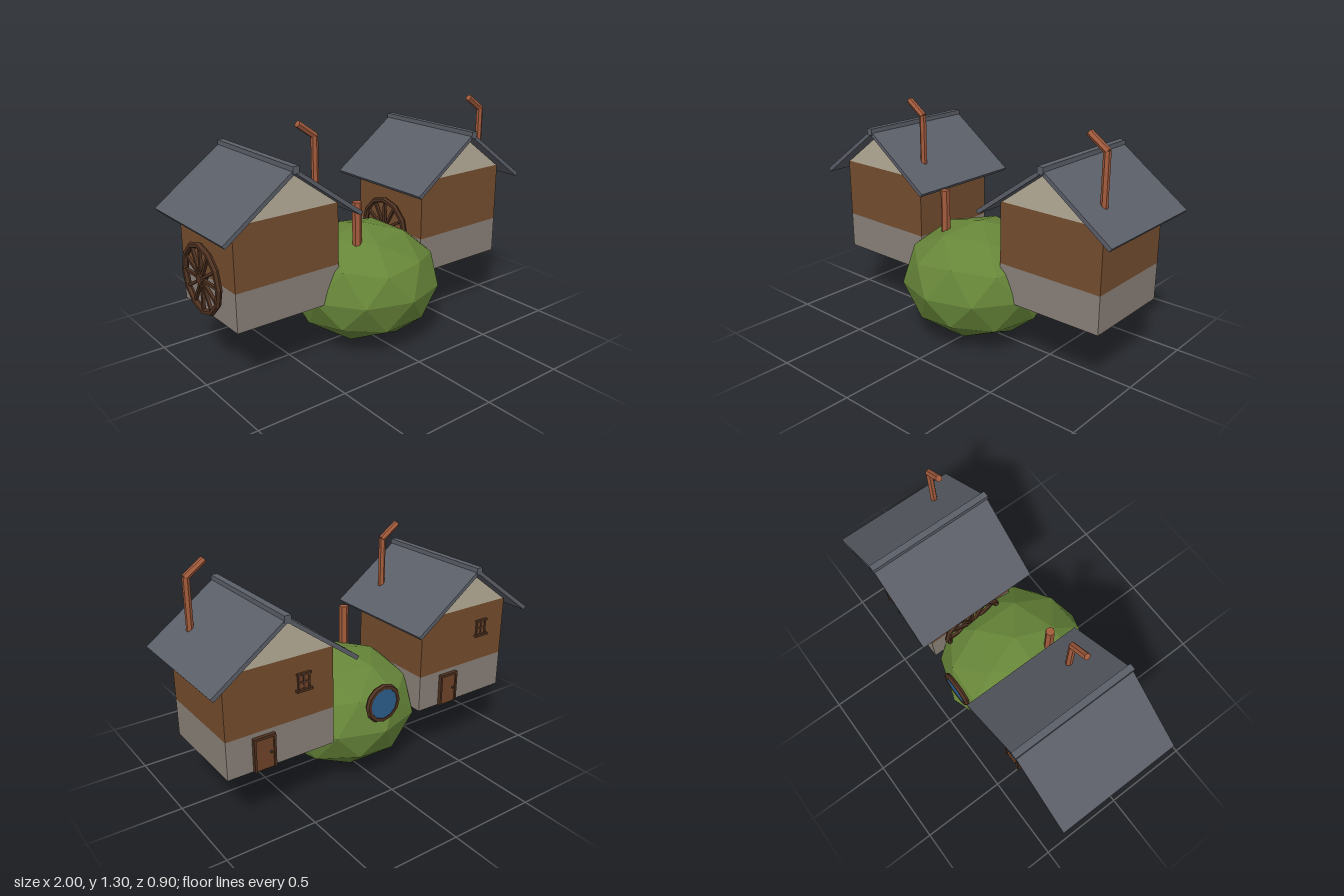
import * as THREE from 'three';

const colours = {
  stone: 0x8a8179, timber: 0x754d2e, plaster: 0xb8ae99, slate: 0x5b5f68, copper: 0xa35b3c,
  leaf: 0x678639, darkWood: 0x4f3221, doorWood: 0x6f4428, glass: 0x2c5f8e, iron: 0x33302e,
};
const M = {};
for (const [name, color] of Object.entries(colours)) {
  M[name] = new THREE.MeshStandardMaterial({ color });
  M[name].name = name;
}

function add(parent, name, geometry, material, x = 0, y = 0, z = 0) {
  const mesh = new THREE.Mesh(geometry, material);
  mesh.name = name;
  mesh.position.set(x, y, z);
  parent.add(mesh);
  return mesh;
}
const box = (w, h, d) => new THREE.BoxGeometry(w, h, d);

// Removes smoothing so that low-poly faces stay flat
function flat(geometry) {
  const g = geometry.index ? geometry.toNonIndexed() : geometry;
  g.computeVertexNormals();
  return g;
}

// Cross-section in x/y extruded between two z values
function prism(points, z0, z1) {
  const shape = new THREE.Shape(points.map(([x, y]) => new THREE.Vector2(x, y)));
  return new THREE.ExtrudeGeometry(shape, { depth: z1 - z0, bevelEnabled: false }).translate(0, 0, z0);
}

// Six-sided pipe between two points
function pipe(parent, name, a, b, r) {
  const p = new THREE.Vector3(...a), q = new THREE.Vector3(...b);
  const dir = q.clone().sub(p);
  const mesh = add(parent, name, flat(new THREE.CylinderGeometry(r, r, dir.length(), 6)), M.copper);
  mesh.position.copy(p).add(q).multiplyScalar(0.5);
  mesh.quaternion.setFromUnitVectors(new THREE.Vector3(0, 1, 0), dir.normalize());
}

// Spoked wheel whose axle runs along x
function wheel() {
  const g = new THREE.Group();
  g.name = 'wheel';
  const rim = flat(new THREE.TorusGeometry(0.178, 0.017, 6, 12).rotateY(Math.PI / 2));
  add(g, 'wheelRim', rim, M.darkWood);
  const hub = flat(new THREE.CylinderGeometry(0.03, 0.03, 0.034, 8).rotateZ(Math.PI / 2));
  add(g, 'wheelHub', hub, M.darkWood);
  for (let i = 0; i < 12; i++) {
    const spoke = add(g, 'wheelSpoke', box(0.016, 0.16, 0.015).translate(0, 0.095, 0), M.darkWood);
    spoke.rotation.x = (i * Math.PI) / 6;
  }
  const axle = flat(new THREE.CylinderGeometry(0.012, 0.012, 0.06, 6).rotateZ(Math.PI / 2));
  add(g, 'wheelAxle', axle, M.darkWood, 0.02);
  return g;
}

function house(x) {
  const g = new THREE.Group();
  g.name = 'house';
  g.position.x = x;
  const front = 0.18, back = -0.365, mid = (front + back) / 2, depth = front - back, half = 0.306;

  // Walls and gables
  add(g, 'stoneBase', box(half * 2, 0.208, depth), M.stone, 0, 0.436, mid);
  add(g, 'timberWalls', box(half * 2, 0.338, depth), M.timber, 0, 0.709, mid);
  add(g, 'gable', prism([[-half, 0.878], [half, 0.878], [0, 1.105]], front - depth, front), M.plaster);

  // Roof slabs and ridge
  for (const s of [-1, 1]) {
    const section = [[0, 1.122], [0.402, 0.83], [0.388, 0.812], [0, 1.097]].map(([px, py]) => [s * px, py]);
    add(g, 'roofSlab', prism(section, -0.45, 0.262), M.slate);
  }
  add(g, 'roofRidge', box(0.036, 0.038, 0.722), M.slate, 0, 1.115, -0.093);

  // Bent stovepipe
  pipe(g, 'chimneyPipe', [0.238, 0.92, 0.08], [0.238, 1.215, 0.08], 0.019);
  pipe(g, 'chimneyElbow', [0.243, 1.21, 0.08], [0.138, 1.285, 0.08], 0.019);

  // Back door with frame and knob
  const dx = 0.105;
  add(g, 'door', box(0.1, 0.17, 0.014), M.doorWood, dx, 0.418, back - 0.006);
  for (const s of [-1, 1]) add(g, 'doorPost', box(0.012, 0.182, 0.022), M.darkWood, dx + s * 0.055, 0.424, back - 0.01);
  add(g, 'doorLintel', box(0.122, 0.014, 0.022), M.darkWood, dx, 0.51, back - 0.01);
  add(g, 'doorKnob', new THREE.SphereGeometry(0.007, 8, 6), M.iron, dx - 0.034, 0.42, back - 0.016);

  // Shuttered back window
  const wx = -0.13;
  add(g, 'windowPanel', box(0.062, 0.085, 0.006), M.doorWood, wx, 0.738, back - 0.003);
  for (const s of [-1, 0, 1]) add(g, 'windowBar', box(0.01, 0.085, 0.01), M.darkWood, wx + s * 0.03, 0.738, back - 0.005);
  for (const [y, w, d] of [[0.78, 0.08, 0.014], [0.735, 0.07, 0.01], [0.695, 0.09, 0.02]]) {
    add(g, 'windowRail', box(w, 0.012, d), M.darkWood, wx, y, back - d / 2);
  }

  const w = wheel();
  w.position.set(-0.338, 0.536, -0.1);
  g.add(w);
  return g;
}

export function createModel() {
  const model = new THREE.Group();
  model.name = 'twinMillHouses';
  for (const s of [-1, 1]) model.add(house(s * 0.597));

  // Faceted mound with one vertex pointing straight up
  const mound = flat(new THREE.IcosahedronGeometry(1, 1));
  mound.rotateZ(Math.atan(2 / (1 + Math.sqrt(5)))).scale(0.436, 0.33, 0.443);
  mound.computeVertexNormals();
  add(model, 'mound', mound, M.leaf, 0, 0.332, 0.007);
  pipe(model, 'moundPipe', [-0.137, 0.55, 0.14], [-0.137, 0.84, 0.14], 0.026);

  // Round window at the back of the mound
  add(model, 'roundWindowFrame', flat(new THREE.TorusGeometry(0.094, 0.017, 6, 12)), M.darkWood, 0, 0.49, -0.403);
  const pane = new THREE.CylinderGeometry(0.09, 0.09, 0.02, 12).rotateX(Math.PI / 2);
  add(model, 'roundWindowPane', flat(pane), M.glass, 0, 0.49, -0.405);
  return model;
}
